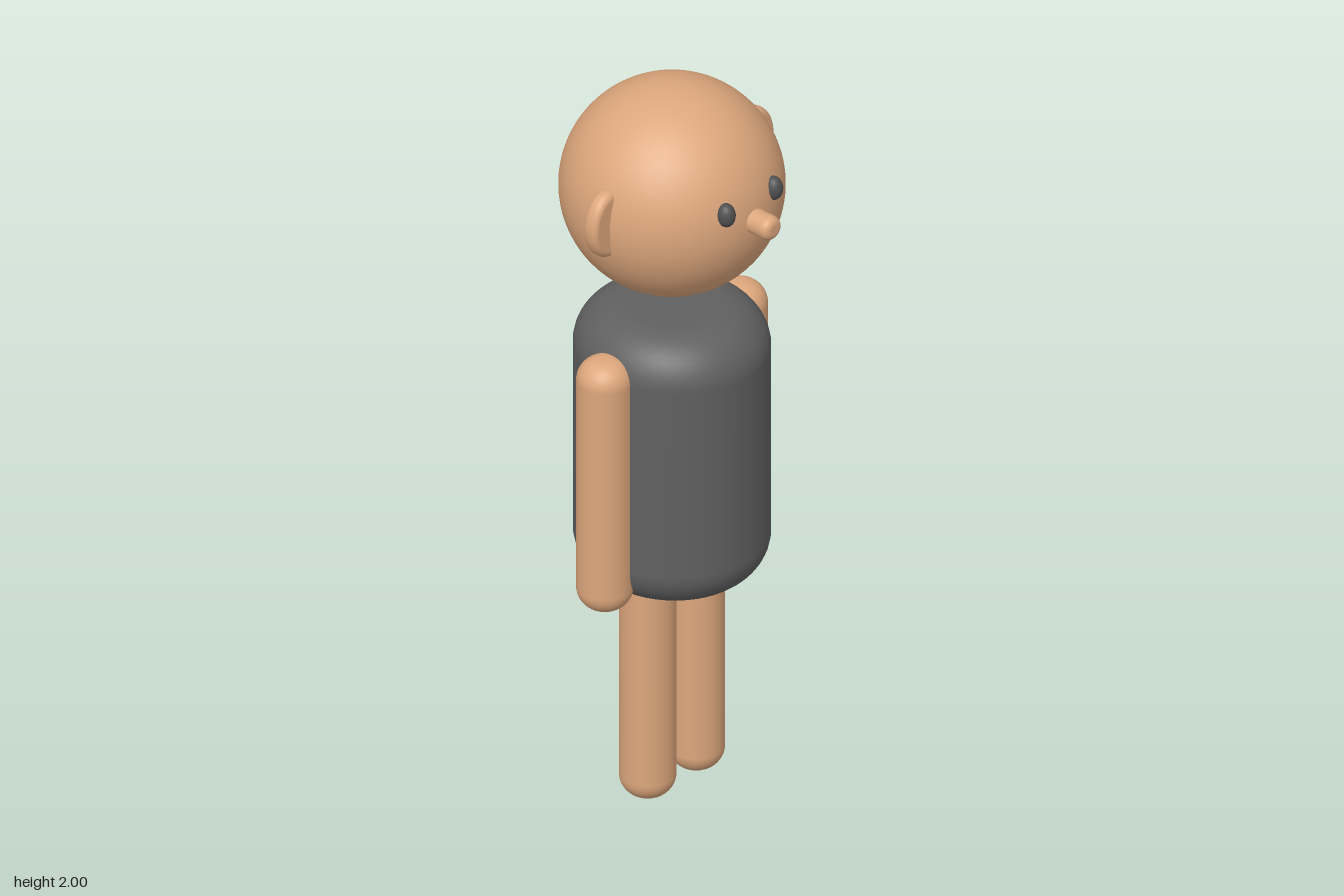
import * as THREE from 'three';

const skin = new THREE.MeshStandardMaterial({ color: 0xdca67c });
const cloth = new THREE.MeshStandardMaterial({ color: 0x606060 });
const dark = new THREE.MeshStandardMaterial({ color: 0x505050 });

// Upright cylinder with rounded rims, centred on its own origin
function roundedCylinder(radius, height, rim, rimHeight = rim) {
  const steps = 12;
  const points = [new THREE.Vector2(0, -height / 2)];
  for (const end of [-1, 1]) {
    for (let i = 0; i <= steps; i++) {
      const a = (Math.PI / 2) * (end < 0 ? i / steps - 1 : i / steps);
      points.push(new THREE.Vector2(
        radius - rim + rim * Math.cos(a),
        end * (height / 2 - rimHeight) + rimHeight * Math.sin(a)));
    }
  }
  points.push(new THREE.Vector2(0, height / 2));
  return new THREE.LatheGeometry(points, 48);
}

export function createModel() {
  const model = new THREE.Group();
  model.name = 'figure';
  const midZ = -0.033;

  function add(name, geometry, material, x, y, z) {
    const mesh = new THREE.Mesh(geometry, material);
    mesh.name = name;
    mesh.position.set(x, y, z);
    model.add(mesh);
    return mesh;
  }

  // Head and torso
  add('head', new THREE.SphereGeometry(0.279, 64, 40), skin, 0, 1.721, midZ);
  const torso = add('torso', roundedCylinder(0.248, 0.77, 0.13, 0.12), cloth, 0, 0.995, midZ);
  torso.scale.x = 0.96;

  // Nose: short peg pointing forward
  const nose = add('nose', roundedCylinder(0.032, 0.16, 0.02), skin, 0, 1.73, 0.23);
  nose.rotation.x = Math.PI / 2;

  // Mirrored pairs
  const limbRadius = 0.071;
  const arm = roundedCylinder(limbRadius, 0.715, 0.06);
  const leg = roundedCylinder(limbRadius, 0.75, 0.06);
  const eye = new THREE.SphereGeometry(1, 24, 16).scale(0.023, 0.032, 0.025);
  const ear = roundedCylinder(0.092, 0.045, 0.02).rotateX(Math.PI / 2).scale(0.72, 1, 1);
  for (const [side, s] of [['left', 1], ['right', -1]]) {
    add(side + 'Arm', arm, skin, s * 0.243, 0.968, midZ);
    add(side + 'Leg', leg, skin, s * 0.088, 0.375, midZ);
    add(side + 'Eye', eye, dark, s * 0.086, 1.778, 0.226);
    add(side + 'Ear', ear, skin, s * 0.262, 1.738, -0.01);
  }
  return model;
}
